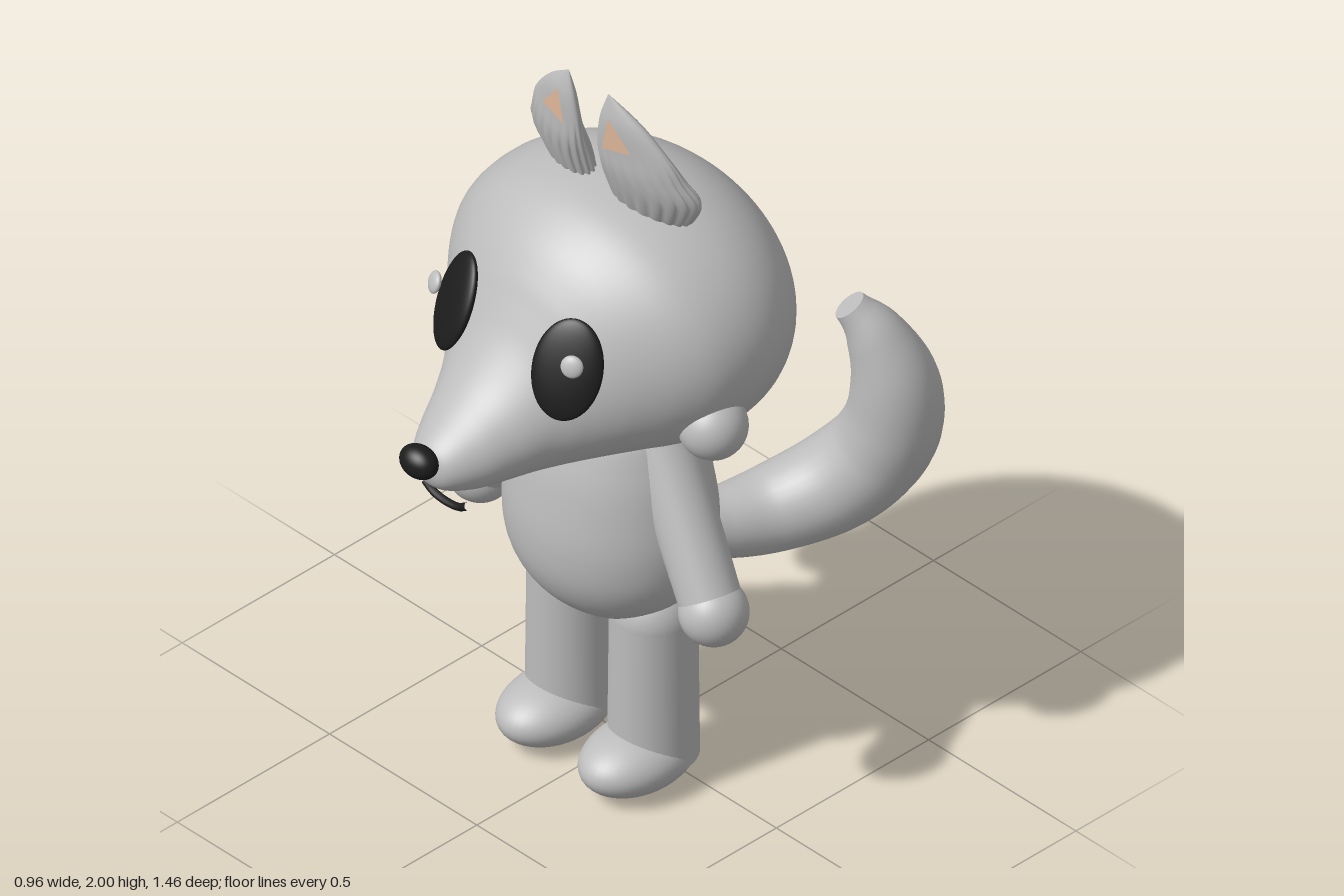
import * as THREE from 'three';
import { mergeVertices } from 'three/addons/utils/BufferGeometryUtils.js';

const V = (x, y, z) => new THREE.Vector3(x, y, z);
const material = (name, color) => {
  const m = new THREE.MeshStandardMaterial({ color });
  m.name = name;
  return m;
};

// Smooth interpolation through rows of numbers, t from 0 to 1
function sample(rows, t) {
  const f = t * (rows.length - 1);
  const i = Math.min(Math.floor(f), rows.length - 2);
  const u = f - i;
  const at = (k) => rows[Math.max(0, Math.min(rows.length - 1, k))];
  return rows[i].map((_, k) => {
    const a = at(i - 1)[k], b = at(i)[k], c = at(i + 1)[k], d = at(i + 2)[k];
    return b + 0.5 * u * (c - a + u * (2 * a - 5 * b + 4 * c - d + u * (3 * (b - c) + d - a)));
  });
}

// Closed rings joined into one smooth skin; point(t, angle) gives each vertex
function loft(rings, sides, point) {
  const pos = [], index = [];
  for (let i = 0; i <= rings; i++) {
    for (let j = 0; j < sides; j++) {
      pos.push(...point(i / rings, (j / sides) * Math.PI * 2));
      if (i === rings) continue;
      const a = i * sides + j, b = i * sides + ((j + 1) % sides);
      index.push(a, b, a + sides, b, b + sides, a + sides);
    }
  }
  const g = new THREE.BufferGeometry();
  g.setAttribute('position', new THREE.Float32BufferAttribute(pos, 3));
  g.setIndex(index);
  const merged = mergeVertices(g, 1e-5);
  merged.computeVertexNormals();
  return merged;
}

export function createModel() {
  const fur = material('greyFur', 0xbcbcbc);
  const black = material('black', 0x1c1c1c);
  const peach = material('peach', 0xe2ba9c);
  peach.side = THREE.DoubleSide;

  const model = new THREE.Group();
  model.name = 'standingAnimal';

  const add = (name, geometry, mat, position = V(0, 0, 0)) => {
    const mesh = new THREE.Mesh(geometry, mat);
    mesh.name = name;
    mesh.position.copy(position);
    model.add(mesh);
    return mesh;
  };
  const ball = (name, mat, position, rx, ry = rx, rz = rx) =>
    add(name, new THREE.SphereGeometry(1, 40, 28).scale(rx, ry, rz), mat, position);
  const limb = (name, from, to, rFrom, rTo) => {
    const dir = to.clone().sub(from);
    const mesh = add(name, new THREE.CylinderGeometry(rTo, rFrom, dir.length(), 36), fur,
      from.clone().add(to).multiplyScalar(0.5));
    mesh.quaternion.setFromUnitVectors(V(0, 1, 0), dir.normalize());
  };

  // Head and snout: rows of z, top, bottom, half width
  const headRows = [];
  for (let i = 0; i < 7; i++) {
    const a = (i * Math.PI) / 12, s = Math.sin(a);
    headRows.push([0.02 - 0.36 * Math.cos(a), 1.34 + 0.35 * s, 1.34 - 0.35 * s, 0.457 * s]);
  }
  headRows.push(
    [0.12, 1.68, 1.0, 0.443], [0.2, 1.655, 1.015, 0.4], [0.28, 1.6, 1.02, 0.33],
    [0.34, 1.53, 1.022, 0.27], [0.38, 1.465, 1.024, 0.23], [0.43, 1.385, 1.028, 0.188],
    [0.5, 1.305, 1.035, 0.15], [0.57, 1.25, 1.045, 0.118], [0.63, 1.207, 1.065, 0.082],
    [0.66, 1.175, 1.09, 0.05], [0.673, 1.13, 1.13, 0]);
  add('head', loft(85, 64, (t, a) => {
    const [z, top, bottom, w] = sample(headRows, t);
    return [w * Math.cos(a), (top + bottom) / 2 + ((top - bottom) / 2) * Math.sin(a), z];
  }), fur);

  // Nose and mouth
  ball('nose', black, V(0, 1.17, 0.69), 0.054, 0.042, 0.039);
  const smile = new THREE.CatmullRomCurve3(
    [V(-0.072, 1.03, 0.6), V(-0.042, 1.012, 0.6), V(0, 1.006, 0.6), V(0.042, 1.012, 0.6), V(0.072, 1.03, 0.6)]);
  add('mouth', new THREE.TubeGeometry(smile, 24, 0.01, 10), black);

  // Body
  const profile = new THREE.SplineCurve([[0, 0.44], [0.1, 0.455], [0.205, 0.525], [0.262, 0.61], [0.28, 0.71],
    [0.27, 0.82], [0.237, 0.95], [0.17, 1.06], [0, 1.1]].map((p) => new THREE.Vector2(...p)));
  const profilePoints = profile.getPoints(40).map((p) => p.setX(Math.max(0, p.x)));
  add('body', new THREE.LatheGeometry(profilePoints, 56).scale(1, 1, 0.84), fur, V(0, 0, 0.06));

  // Ears: rows of y, centre x, centre z, radius x, radius z
  const earRows = [
    [1.62, 0.14, 0.04, 0.07, 0.03], [1.66, 0.143, 0.05, 0.1, 0.045], [1.73, 0.155, 0.068, 0.123, 0.05],
    [1.79, 0.142, 0.09, 0.113, 0.043], [1.85, 0.128, 0.106, 0.097, 0.031],
    [1.93, 0.1, 0.121, 0.056, 0.022], [2.0, 0.067, 0.133, 0, 0]];

  for (const s of [1, -1]) {
    const side = s > 0 ? 'left' : 'right';

    // Fluted ear with a flat inner patch
    add(side + 'Ear', loft(36, 108, (t, angle) => {
      const a = angle * s;
      const [y, cx, cz, rx, rz] = sample(earRows, t);
      const fade = Math.max(0, Math.min(1, (1.87 - y) / 0.12));
      const k = 1 - 0.09 * fade * (1 - Math.abs(Math.sin(a * 9)));
      const dx = rx * k * Math.cos(a);
      return [s * (cx + dx), y, cz - rz * k * Math.sin(a) - 0.25 * dx];
    }), fur);
    const patch = new THREE.BufferGeometry().setFromPoints(
      [V(s * 0.065, 1.85, 0.153), V(s * 0.15, 1.865, 0.139), V(s * 0.085, 1.945, 0.152)]);
    patch.setIndex(s > 0 ? [0, 1, 2] : [0, 2, 1]);
    patch.computeVertexNormals();
    add(side + 'InnerEar', patch, peach);

    // Eye patch and glint, lying on the slope of the face
    const facing = new THREE.Quaternion().setFromUnitVectors(V(0, 0, 1), V(0.52 * s, 0.42, 1).normalize());
    ball(side + 'Eye', black, V(s * 0.19, 1.385, 0.386), 0.088, 0.128, 0.024).quaternion.copy(facing);
    ball(side + 'EyeGlint', fur, V(s * 0.233, 1.43, 0.413), 0.028, 0.028, 0.012).quaternion.copy(facing);

    ball(side + 'Cheek', fur, V(s * 0.388, 1.18, 0.1), 0.085);

    // Arm
    const shoulder = V(s * 0.168, 0.99, 0.055), wrist = V(s * 0.396, 0.637, 0.105);
    ball(side + 'Shoulder', fur, shoulder, 0.083);
    limb(side + 'Arm', shoulder, wrist, 0.083, 0.076);
    ball(side + 'Hand', fur, wrist, 0.085);

    // Leg
    ball(side + 'Hip', fur, V(s * 0.14, 0.48, 0.055), 0.106);
    limb(side + 'Leg', V(s * 0.14, 0.07, 0.055), V(s * 0.14, 0.48, 0.055), 0.11, 0.106);
    ball(side + 'Foot', fur, V(s * 0.14, 0.082, 0.105), 0.116, 0.082, 0.165);
  }

  // Tail: rows of x, y, z, radius
  const tailRows = [
    [0.0, 0.56, -0.08, 0.05], [0.01, 0.54, -0.15, 0.06], [0.03, 0.505, -0.28, 0.088],
    [0.07, 0.503, -0.41, 0.108], [0.15, 0.56, -0.53, 0.122], [0.225, 0.66, -0.595, 0.122],
    [0.268, 0.77, -0.612, 0.118], [0.275, 0.9, -0.603, 0.104], [0.238, 1.03, -0.57, 0.07],
    [0.195, 1.1, -0.535, 0.042]];
  const spine = new THREE.CatmullRomCurve3(tailRows.map((r) => V(r[0], r[1], r[2])));
  const rings = 60, sides = 32;
  let tail = new THREE.TubeGeometry(spine, rings, 1, sides);
  const pos = tail.attributes.position;
  for (let i = 0; i < pos.count; i++) {
    const u = Math.floor(i / (sides + 1)) / rings;
    const centre = spine.getPointAt(u);
    const radius = sample(tailRows, spine.getUtoTmapping(u))[3];
    const p = V().fromBufferAttribute(pos, i).sub(centre).multiplyScalar(radius).add(centre);
    pos.setXYZ(i, p.x, p.y, p.z);
  }
  tail.deleteAttribute('uv');
  tail.deleteAttribute('normal');
  tail = mergeVertices(tail, 1e-5);
  tail.computeVertexNormals();
  add('tail', tail, fur);
  ball('tailRoot', fur, spine.getPointAt(0), 0.05);
  const tip = add('tailTip', new THREE.CircleGeometry(0.042, sides), fur, spine.getPointAt(1));
  tip.quaternion.setFromUnitVectors(V(0, 0, 1), spine.getTangentAt(1));

  return model;
}
